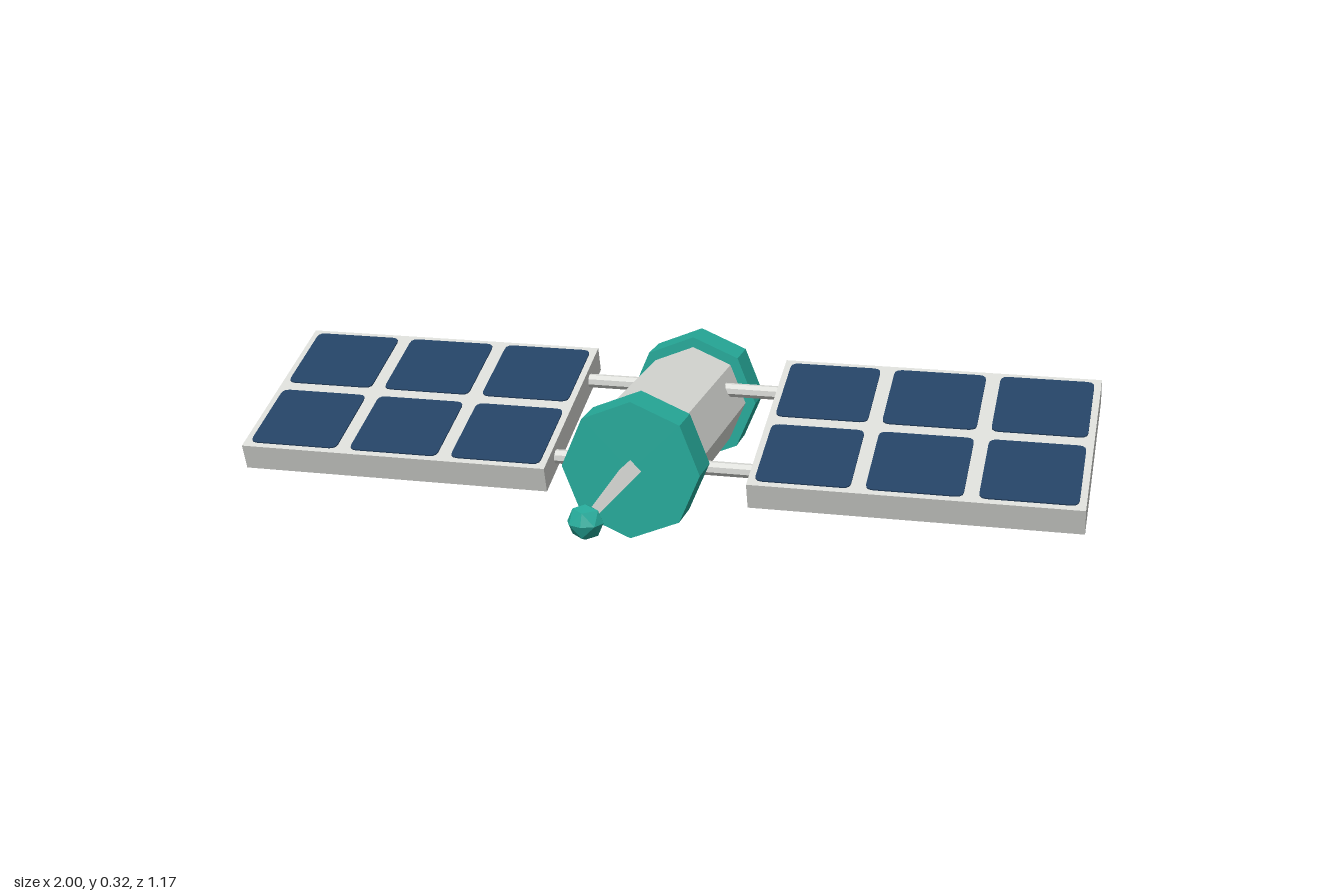
import * as THREE from 'three';

const mat = (name, color) => {
  const m = new THREE.MeshStandardMaterial({ color });
  m.name = name;
  return m;
};

export function createModel() {
  const grey = mat('lightGrey', 0xd8d9d5);
  const teal = mat('teal', 0x26a999);
  const navy = mat('navy', 0x234163);
  const CY = 0.161; // height of the main axis
  const model = new THREE.Group();
  model.name = 'satellite';

  // Built-in geometries are faceted by dropping shared normals
  const add = (parent, name, geometry, material) => {
    const flat = geometry.index ? geometry.toNonIndexed() : geometry;
    flat.computeVertexNormals();
    const mesh = new THREE.Mesh(flat, material);
    mesh.name = name;
    parent.add(mesh);
    return mesh;
  };

  // Prism along z from z0 (back) to z1 (front)
  const prism = (name, rBack, rFront, z0, z1, sides, material) => {
    const g = new THREE.CylinderGeometry(rFront, rBack, z1 - z0, sides);
    g.rotateX(Math.PI / 2).translate(0, CY, (z0 + z1) / 2);
    return add(model, name, g, material);
  };

  // Body, collars and antenna
  prism('body', 0.135, 0.135, -0.585, 0.12, 8, grey);
  prism('frontCollar', 0.16, 0.16, 0.082, 0.181, 8, teal);
  prism('rearCollar', 0.16, 0.16, -0.53, -0.432, 8, teal);
  prism('antenna', 0.026, 0.011, 0.17, 0.53, 4, grey);
  add(model, 'antennaTip', new THREE.OctahedronGeometry(0.039, 1).translate(0, CY, 0.546), teal);

  // Rounded square solar cell, lying in the xz plane
  const CELL = 0.22, R = 0.018, T = 0.004, h = CELL / 2;
  const shape = new THREE.Shape();
  shape.moveTo(-h + R, -h);
  shape.lineTo(h - R, -h).quadraticCurveTo(h, -h, h, -h + R);
  shape.lineTo(h, h - R).quadraticCurveTo(h, h, h - R, h);
  shape.lineTo(-h + R, h).quadraticCurveTo(-h, h, -h, h - R);
  shape.lineTo(-h, -h + R).quadraticCurveTo(-h, -h, -h + R, -h);
  const cellGeo = new THREE.ExtrudeGeometry(shape, { depth: T, bevelEnabled: false, curveSegments: 3 });
  cellGeo.translate(0, 0, -T / 2).rotateX(-Math.PI / 2);

  // Tilted wings, one on each side
  const THICK = 0.066;
  for (const [side, s] of [['left', 1], ['right', -1]]) {
    const wing = new THREE.Group();
    wing.name = side + 'Wing';
    wing.position.set(0, 0.165, -0.188);
    wing.rotation.x = THREE.MathUtils.degToRad(20);
    model.add(wing);

    add(wing, 'panelFrame', new THREE.BoxGeometry(0.76, THICK, 0.505).translate(s * 0.62, 0, 0), grey);

    // Cells on the top and underside
    for (const face of [1, -1])
      for (const col of [-1, 0, 1])
        for (const row of [-1, 1]) {
          const cell = add(wing, 'solarCell', cellGeo, navy);
          cell.position.set(s * 0.62 + col * 0.254, face * (THICK / 2 + 0.001), row * 0.127);
        }

    // Struts joining the panel to the body
    for (const z of [-0.158, 0.158]) {
      const strut = new THREE.CylinderGeometry(0.017, 0.017, 0.2, 8);
      strut.rotateZ(Math.PI / 2).translate(s * 0.17, 0, z);
      add(wing, 'strut', strut, grey);
    }
  }
  return model;
}
